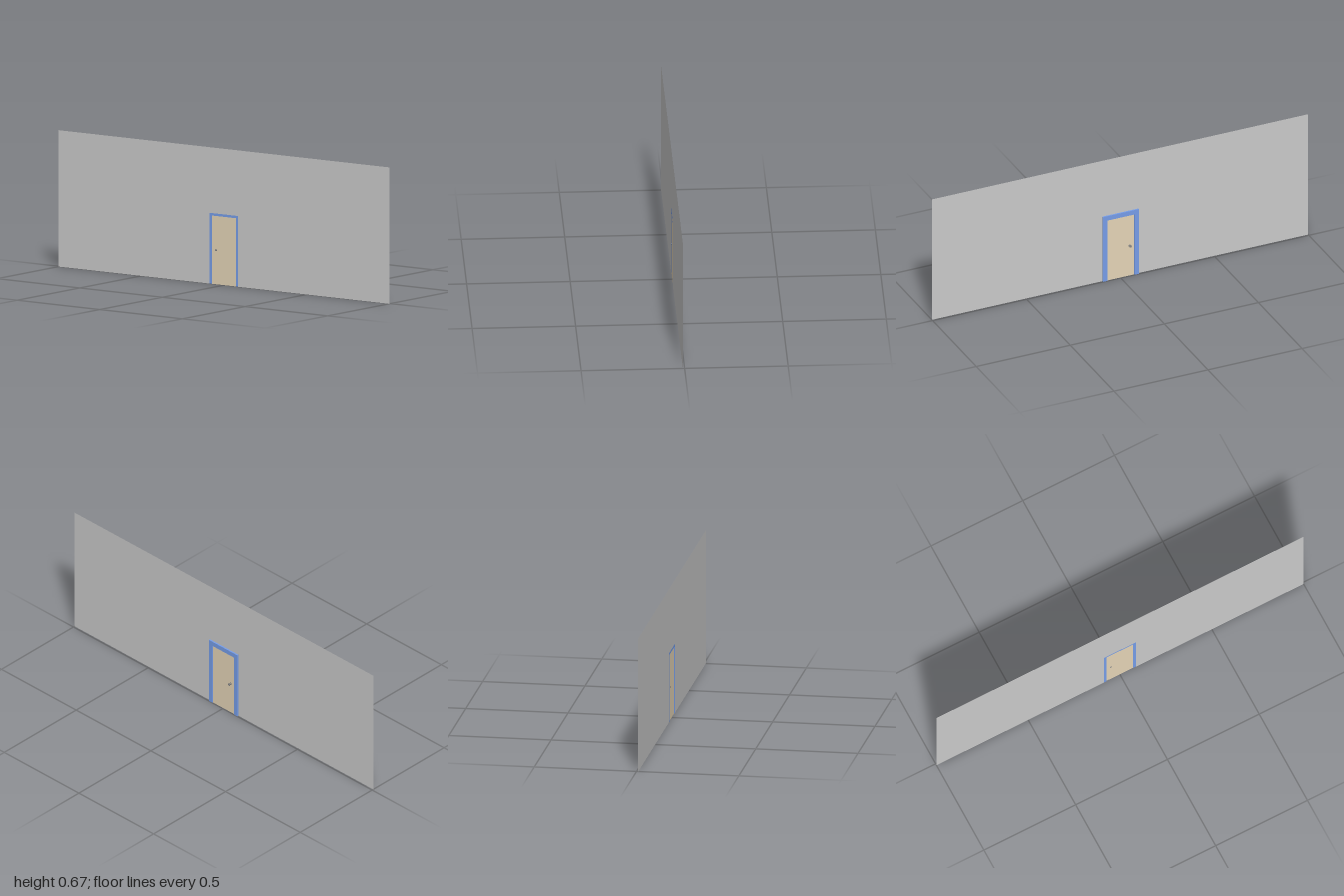
import * as THREE from 'three';

const mat = (color, extra = {}) => new THREE.MeshStandardMaterial({ color, ...extra });

// Outline of an upright opening standing on the floor, drawn in (z, y)
function doorway(z0, z1, top) {
  return [[z1, 0], [z1, top], [z0, top], [z0, 0]];
}

// Polygon in (z, y), turned so that its shape x axis runs along +z
function polygon(points) {
  return new THREE.Shape(points.map(([z, y]) => new THREE.Vector2(-z, y)));
}

function add(parent, name, geometry, material) {
  const mesh = new THREE.Mesh(geometry, material);
  mesh.name = name;
  parent.add(mesh);
  return mesh;
}

export function createModel() {
  const model = new THREE.Group();
  model.name = 'wallWithDoor';
  const backX = -0.0083, frontX = -0.0003, doorX = -0.0045;

  // Thin wall sheet with the doorway cut out of its lower edge
  const wallShape = polygon([
    [1, 0], [1, 0.665], [-1, 0.665], [-1, 0],
    ...doorway(-0.088, 0.086, 0.345).reverse(),
  ]);
  const wall = new THREE.ShapeGeometry(wallShape).rotateY(Math.PI / 2).translate(backX, 0, 0);
  add(model, 'wall', wall, mat(0xcccccc, { side: THREE.DoubleSide }));

  // Door frame: two jambs and a lintel in one piece
  const frameShape = polygon([
    ...doorway(-0.096, 0.094, 0.357),
    ...doorway(-0.073, 0.071, 0.333).reverse(),
  ]);
  const frame = new THREE.ExtrudeGeometry(frameShape, { depth: frontX - backX - 0.0004, bevelEnabled: false })
    .rotateY(Math.PI / 2).translate(backX + 0.0004, 0, 0);
  add(model, 'doorFrame', frame, mat(0x779eea));

  // Door leaf, set back inside the frame
  const door = new THREE.BoxGeometry(0.002, 0.333, 0.144).translate(doorX - 0.001, 0.1665, -0.001);
  add(model, 'doorLeaf', door, mat(0xe6d6b8));

  // Door knob: rosette, stem and round grip turned about the x axis
  const knob = new THREE.Group();
  knob.name = 'doorKnob';
  knob.position.set(doorX, 0.166, -0.049);
  model.add(knob);
  const metal = mat(0x888888);
  const profile = [
    [0, 0], [0.006, 0], [0.006, 0.001], [0.003, 0.0015], [0.003, 0.0095],
    [0.006, 0.0102], [0.0068, 0.0112], [0.006, 0.0122], [0, 0.0125],
  ].map(([r, h]) => new THREE.Vector2(r, h));
  add(knob, 'frontKnob', new THREE.LatheGeometry(profile, 20).rotateZ(-Math.PI / 2), metal);

  // Small flat knob on the rear of the door
  const rear = new THREE.CylinderGeometry(0.005, 0.005, 0.0018, 20).rotateZ(Math.PI / 2);
  add(knob, 'rearKnob', rear, metal).position.x = -0.0028;

  return model;
}
